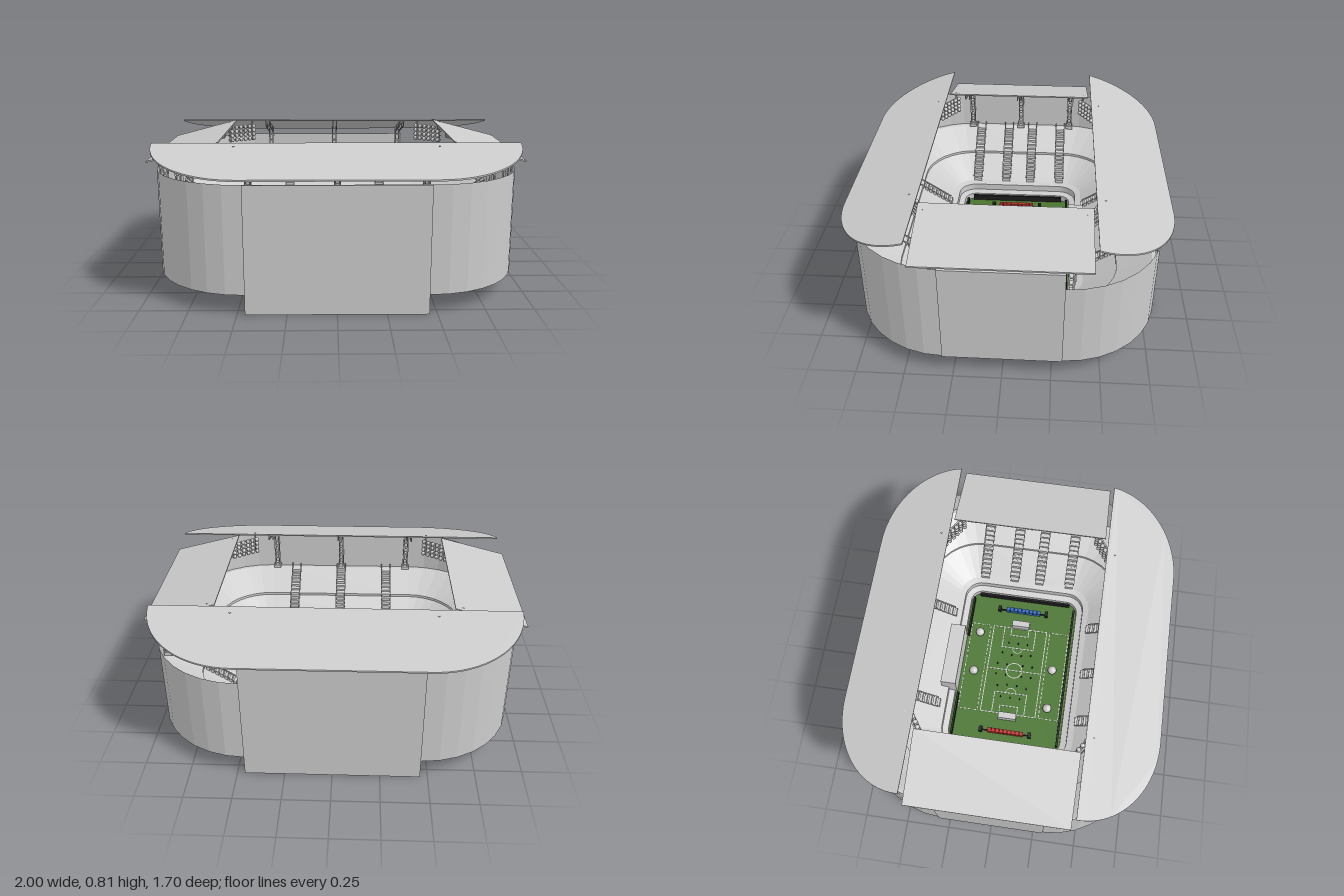
import * as THREE from 'three';

const mat = (color = 0xcccccc) => new THREE.MeshStandardMaterial({ color, flatShading: true, side: THREE.DoubleSide });
const grey = mat(), green = mat(0x4a7530), red = mat(0xc4302b), blue = mat(0x3a6fc8), dark = mat(0x1c1c1c);
dark.side = green.side = THREE.DoubleSide;

function add(parent, name, geo, material = grey, x = 0, y = 0, z = 0) {
  const m = new THREE.Mesh(geo, material);
  m.name = name;
  m.position.set(x, y, z);
  parent.add(m);
  return m;
}
const box = (parent, name, w, h, d, x, y, z, material) =>
  add(parent, name, new THREE.BoxGeometry(w, h, d), material, x, y, z);

// Thin bar between two points
function bar(parent, name, a, b, r, material = grey) {
  const p = new THREE.Vector3(...a), q = new THREE.Vector3(...b);
  const m = box(parent, name, r, p.distanceTo(q), r, 0, 0, 0, material);
  m.position.copy(p).add(q).multiplyScalar(0.5);
  m.quaternion.setFromUnitVectors(new THREE.Vector3(0, 1, 0), q.sub(p).normalize());
  return m;
}

// Surface through rows of equally many points
function loft(rows) {
  const n = rows[0].length, idx = [];
  for (let j = 0; j < rows.length - 1; j++)
    for (let i = 0; i < n - 1; i++) {
      const a = j * n + i, b = a + 1, c = a + n, d = c + 1;
      idx.push(a, c, b, b, c, d);
    }
  const g = new THREE.BufferGeometry();
  g.setAttribute('position', new THREE.Float32BufferAttribute(rows.flat(2), 3));
  g.setIndex(idx);
  g.computeVertexNormals();
  return g;
}

// Quarter arc in plan, in quadrant q
function corner(hx, hz, r, q, seg = 8) {
  const sx = [1, -1, -1, 1][q], sz = [1, 1, -1, -1][q], pts = [];
  for (let i = 0; i <= seg; i++) {
    const a = (q + i / seg) * Math.PI / 2;
    pts.push([sx * (hx - r) + r * Math.cos(a), sz * (hz - r) + r * Math.sin(a)]);
  }
  return pts;
}
const ring = (hx, hz, r, y) => {
  const p = [0, 1, 2, 3].flatMap(q => corner(hx, hz, r, q));
  return [...p, p[0]].map(([x, z]) => [x, y, z]);
};

function createWalls(g) {
  for (let q = 0; q < 4; q++) {
    const top = q === 3 ? 0.57 : 0.66, pts = corner(0.96, 0.8, 0.5, q);
    add(g, 'cornerWall', loft([0.1, top].map(y => pts.map(([x, z]) => [x, y, z]))));
  }
  for (const s of [1, -1]) {
    box(g, 'sideWall', 0.012, 0.56, 0.61, s * 0.96, 0.38, 0);
    box(g, 'mainFacade', 0.92, 0.66, 0.012, 0, 0.33, s * 0.803);
    const inner = s > 0 ? 0.49 : 0.56, depth = 0.8 - inner;
    box(g, 'facadeBase', 0.92, 0.1, depth, 0, 0.05, s * (inner + depth / 2));
  }
}

function createStands(g) {
  // Seating bowl: t runs from pitch edge to outer wall
  const profile = [[0, 0.1], [0, 0.14], [0.08, 0.15], [0.08, 0.19], [0.16, 0.2], [0.55, 0.31],
    [0.55, 0.325], [0.95, 0.43], [1, 0.43]];
  add(g, 'seatingBowl', loft(profile.map(([t, y]) =>
    ring(0.5 + 0.45 * t, 0.34 + 0.45 * t, 0.07 + 0.42 * t, y))));
  box(g, 'centralTerrace', 0.38, 0.18, 0.09, 0, 0.19, -0.375);

  // Aisles on the four banks
  for (let k = 0; k < 4; k++) {
    const bank = new THREE.Group(), side = k % 2;
    bank.name = 'aisles';
    bank.rotation.y = k * Math.PI / 2;
    for (const x of side ? [-0.27, -0.08, 0.08, 0.27] : [-0.3, 0, 0.3]) {
      if (k === 2 && x === 0) continue;
      for (let i = 0; i < 14; i++) {
        const t = 0.17 + 0.055 * i;
        box(bank, 'aisleStep', 0.05, 0.022, 0.016, x, 0.2 + 0.29 * (t - 0.16) + 0.005, (side ? 0.5 : 0.34) + 0.45 * t);
      }
      for (const s of [-0.028, 0.028])
        bar(bank, 'aisleRail', [x + s, 0.225, (side ? 0.5 : 0.34) + 0.08], [x + s, 0.455, (side ? 0.5 : 0.34) + 0.43], 0.006);
    }
    g.add(bank);
  }
}

// Sloping roof plate with trusses and columns; local +z points outward
function createRoof(shape, d0, d1, yIn, yOut, wallD, ribs, angle) {
  const g = new THREE.Group();
  g.name = 'roof';
  g.rotation.y = angle;
  const yAt = d => yIn + (yOut - yIn) * (d - d0) / (d1 - d0);
  const geo = new THREE.ExtrudeGeometry(shape, { depth: 0.008, bevelEnabled: false, curveSegments: 14 });
  geo.rotateX(Math.PI / 2);
  const p = geo.attributes.position;
  for (let i = 0; i < p.count; i++) p.setY(i, p.getY(i) + yAt(p.getZ(i)));
  geo.computeVertexNormals();
  add(g, 'roofPlate', geo);
  for (const x of ribs) {
    const a = d0 + 0.02, b = wallD + 0.01, low = d => yAt(d) - 0.038;
    for (const s of [-0.012, 0.012]) {
      bar(g, 'trussChord', [x + s, low(a), a], [x + s, low(b), b], 0.006);
      for (let i = 0; i <= 7; i++) {
        const d = a + (b - a) * i / 7;
        bar(g, 'trussStrut', [x + s, low(d), d], [x + s, yAt(d) - 0.006, d], 0.005);
      }
      for (const d of [wallD - 0.04, wallD - 0.015])
        bar(g, 'columnPost', [x + s, 0.43, d], [x + s, yAt(d) - 0.006, d], 0.008);
    }
    for (let i = 0; i < 6; i++) box(g, 'columnRung', 0.028, 0.006, 0.028, x, 0.46 + i * 0.04, wallD - 0.027);
    box(g, 'columnFoot', 0.045, 0.02, 0.045, x, 0.44, wallD - 0.03);
  }
  return g;
}

function createRoofs(g) {
  const long = new THREE.Shape();
  long.moveTo(-0.96, 0.45);
  long.lineTo(0.96, 0.45);
  long.absellipse(0.48, 0.45, 0.48, 0.4, 0, Math.PI / 2);
  long.absellipse(-0.48, 0.45, 0.48, 0.4, Math.PI / 2, Math.PI);
  const short = new THREE.Shape([[-0.435, 0.62], [0.435, 0.62], [0.435, 1], [-0.435, 1]].map(v => new THREE.Vector2(...v)));
  for (const a of [0, Math.PI]) {
    g.add(createRoof(long, 0.45, 0.85, 0.805, 0.695, 0.8, [-0.43, 0, 0.43], a));
    g.add(createRoof(short, 0.62, 1, 0.805, 0.705, 0.95, [-0.33, 0, 0.33], a + Math.PI / 2));
  }
  // Floodlight clusters in the four corners
  for (const sx of [1, -1]) for (const sz of [1, -1]) {
    const f = new THREE.Group();
    f.name = 'floodlights';
    f.position.set(sx * 0.59, 0.72, sz * 0.44);
    f.rotation.y = sx * sz * 0.6;
    for (let i = 0; i < 6; i++) for (let j = 0; j < 4; j++)
      add(f, 'lamp', new THREE.SphereGeometry(0.013, 10, 8), grey, (i - 2.5) * 0.031, (j - 1.5) * 0.026, -sz * 0.01);
    for (let j = 0; j < 4; j++) box(f, 'lampRail', 0.19, 0.006, 0.008, 0, (j - 1.5) * 0.026, sz * 0.006);
    for (const x of [-0.08, 0.08]) box(f, 'lampHanger', 0.008, 0.13, 0.008, x, 0.01, sz * 0.012);
    g.add(f);
  }
}

function createPitch(g) {
  box(g, 'pitch', 1.46, 0.006, 1.04, 0, 0.1, -0.03, green);
  // Sunken walls under both touchlines
  for (const [z0, z1] of [[0.19, 0.49], [-0.19, -0.55]]) {
    box(g, 'pitWall', 0.56, 0.1, 0.003, 0, 0.05, z0, green);
    for (const x of [-0.28, 0.28]) box(g, 'pitWall', 0.003, 0.1, Math.abs(z1 - z0), x, 0.05, (z0 + z1) / 2, green);
  }
  // Markings
  const line = (x0, z0, x1, z1) => box(g, 'marking', Math.abs(x1 - x0) + 0.005, 0.002, Math.abs(z1 - z0) + 0.005,
    (x0 + x1) / 2, 0.104, (z0 + z1) / 2);
  const frame = (x0, z0, x1, z1) => {
    for (const z of [z0, z1]) line(x0, z, x1, z);
    for (const x of [x0, x1]) line(x, z0, x, z1);
  };
  frame(-0.285, -0.17, 0.285, 0.17);
  line(0, -0.17, 0, 0.17);
  const circle = new THREE.RingGeometry(0.046, 0.051, 32).rotateX(-Math.PI / 2);
  add(g, 'centreCircle', circle, grey, 0, 0.105, 0);
  for (const s of [1, -1]) {
    frame(s * 0.15, -0.1, s * 0.285, 0.1);
    frame(s * 0.235, -0.055, s * 0.285, 0.055);
    const arc = new THREE.RingGeometry(0.03, 0.034, 12, 1, s > 0 ? Math.PI / 2 : -Math.PI / 2, Math.PI).rotateX(-Math.PI / 2);
    add(g, 'penaltyArc', arc, grey, s * 0.15, 0.105, 0);
    box(g, 'goal', 0.038, 0.045, 0.11, s * 0.305, 0.125, 0);
    // Dashed warm-up areas
    for (let i = 0; i < 19; i++) for (const z of [0.19, 0.31]) line(-0.28 + i * 0.03, s * z, -0.265 + i * 0.03, s * z);
    for (let i = 0; i < 4; i++) for (const x of [-0.285, 0.285]) line(x, s * (0.2 + i * 0.03), x, s * (0.215 + i * 0.03));
    // Players
    for (const [x, z] of [[0.035, 0.05], [0.035, 0.11], [0.11, 0.09], [0.18, 0.06], [0.1, 0.03], [0.18, 0.0]])
      for (const t of z ? [1, -1] : [1])
        add(g, 'player', new THREE.CylinderGeometry(0.004, 0.004, 0.022, 6), dark, s * x, 0.113, t * z);
    // Coloured benches behind each goal
    const colour = s > 0 ? blue : red;
    for (let i = 0; i < 9; i++) box(g, 'benchSeat', 0.024, 0.03, 0.022, s * 0.403, 0.118, -0.095 + i * 0.0245, colour);
    for (const z of [-0.15, 0.15]) box(g, 'benchEnd', 0.032, 0.03, 0.02, s * 0.403, 0.118, z, dark);
    box(g, 'benchBase', 0.006, 0.01, 0.3, s * 0.403, 0.108, 0, dark);
    // Perimeter boards
    box(g, 'perimeterBoard', 0.012, 0.035, 0.58, s * 0.485, 0.12, 0, dark);
    if (s > 0) box(g, 'perimeterBoard', 0.9, 0.035, 0.012, 0, 0.12, 0.322, dark);
    else for (const x of [-0.325, 0.325]) box(g, 'perimeterBoard', 0.26, 0.035, 0.012, x, 0.12, -0.322, dark);
  }
  for (const [x, z] of [[-0.04, -0.25], [0.22, -0.25], [-0.22, 0.235], [0.03, 0.235]])
    add(g, 'ball', new THREE.SphereGeometry(0.027, 20, 14), new THREE.MeshStandardMaterial({ color: 0xcccccc }), x, 0.13, z);
}

export function createModel() {
  const g = new THREE.Group();
  g.name = 'stadium';
  createWalls(g);
  createStands(g);
  createRoofs(g);
  createPitch(g);
  return g;
}
